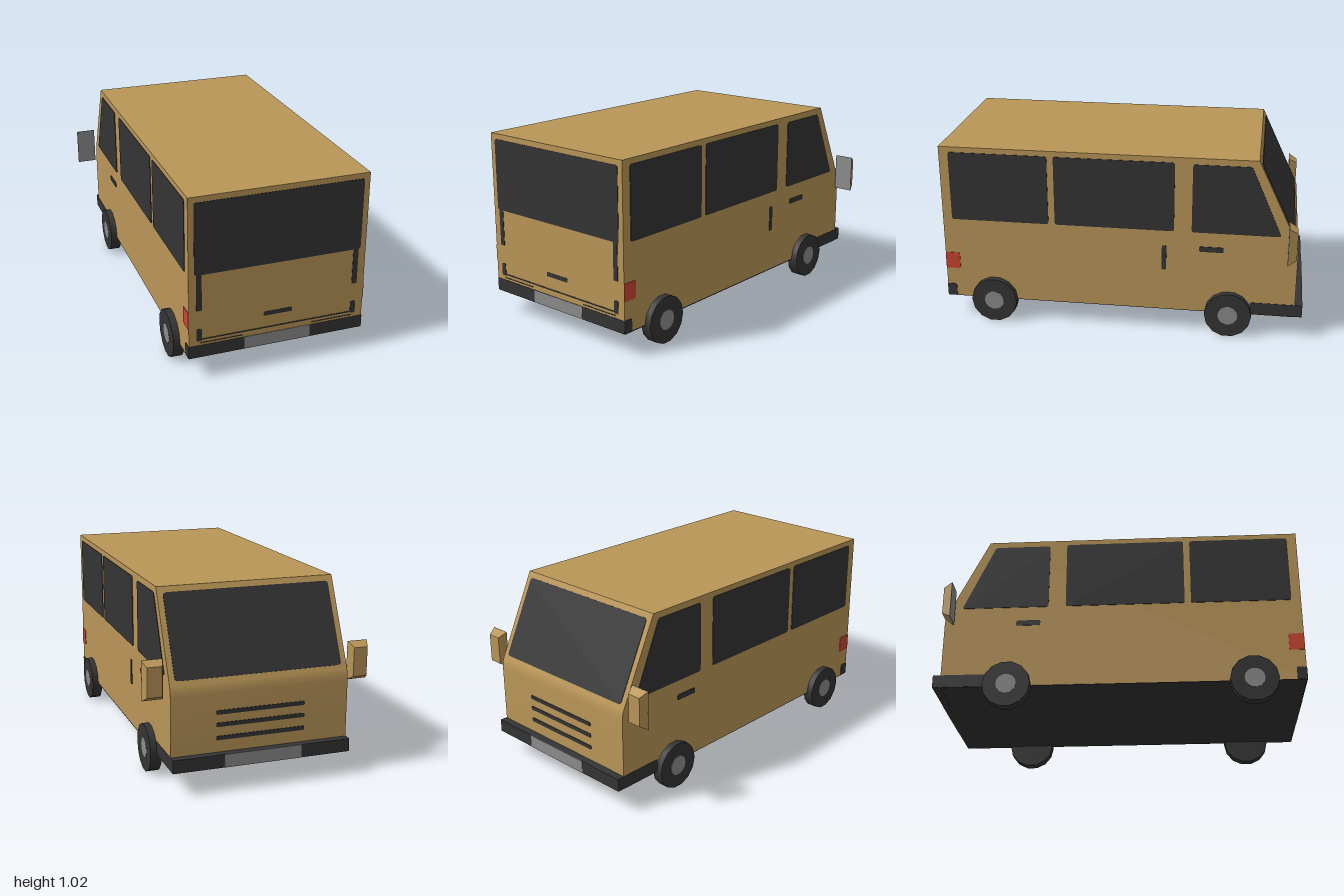
import * as THREE from 'three';
import { toCreasedNormals } from 'three/addons/utils/BufferGeometryUtils.js';

const paint = (name, color) => Object.assign(new THREE.MeshStandardMaterial({ color }), { name });

// Polygon with softened corners
function roundedShape(points, r) {
  const pts = points.map(([x, y]) => new THREE.Vector2(x, y));
  const shape = new THREE.Shape();
  const toward = (a, b) => a.clone().add(b.clone().sub(a).setLength(r));
  pts.forEach((p, i) => {
    const start = toward(p, pts[(i + pts.length - 1) % pts.length]);
    const end = toward(p, pts[(i + 1) % pts.length]);
    if (i === 0) shape.moveTo(start.x, start.y);
    else shape.lineTo(start.x, start.y);
    shape.quadraticCurveTo(p.x, p.y, end.x, end.y);
  });
  shape.closePath();
  return shape;
}

const rect = (x0, x1, y0, y1) => [[x0, y0], [x1, y0], [x1, y1], [x0, y1]];
const THIN = 0.004;
const plate = (points, r) =>
  new THREE.ExtrudeGeometry(roundedShape(points, r), { depth: THIN, bevelEnabled: false, curveSegments: 4 });

export function createModel() {
  const van = new THREE.Group();
  van.name = 'van';
  const body = paint('tan paint', 0xba9658);
  const dark = paint('dark trim', 0x343434);
  const grey = paint('grey metal', 0x8c8c8c);
  const red = paint('red lamp', 0xcc4530);

  function add(name, geometry, material, x = 0, y = 0, z = 0) {
    const mesh = new THREE.Mesh(geometry, material);
    mesh.name = name;
    mesh.position.set(x, y, z);
    van.add(mesh);
    return mesh;
  }

  // Body shell: side profile (x = -z) swept across the width
  const W = 0.48;
  const profile = new THREE.Shape([
    [-0.997, 0.13], [0.957, 0.13], [0.957, 0.51], [0.954, 0.545],
    [0.947, 0.566], [0.73, 1.02], [-0.997, 1.02],
  ].map(([u, y]) => new THREE.Vector2(u, y)));
  const shell = new THREE.ExtrudeGeometry(profile, { depth: 2 * W, bevelEnabled: false });
  shell.translate(0, 0, -W).rotateY(Math.PI / 2);
  add('bodyShell', toCreasedNormals(shell, 0.6), body);
  add('underside', new THREE.BoxGeometry(2 * W, 0.006, 1.95), dark, 0, 0.13, 0.02);

  // Side panels, given as [z, y] outlines on one flank
  function sidePanel(name, points, r, material, side) {
    const g = plate(points.map(([z, y]) => [-z, y]), r);
    g.translate(0, 0, side > 0 ? W - 0.001 : -W - THIN + 0.001).rotateY(Math.PI / 2);
    add(name, g, material);
  }
  for (const side of [1, -1]) {
    sidePanel('rearSideWindow', rect(0.945, 0.4, 0.6, 0.99), 0.015, dark, side);
    sidePanel('middleSideWindow', rect(0.365, -0.29, 0.6, 0.99), 0.015, dark, side);
    sidePanel('cabWindow', [[-0.385, 0.6], [-0.865, 0.6], [-0.695, 0.985], [-0.385, 0.985]], 0.015, dark, side);
    sidePanel('cabDoorHandle', rect(-0.428, -0.56, 0.488, 0.518), 0.008, dark, side);
    sidePanel('tailLamp', rect(0.997, 0.915, 0.3, 0.395), 0.008, red, side);
    sidePanel('rearBumperCorner', rect(0.997, 0.945, 0.13, 0.2), 0.01, dark, side);
  }
  sidePanel('slidingDoorHandle', rect(-0.225, -0.25, 0.37, 0.512), 0.006, dark, 1);

  // Tailgate end
  const tail = (name, x0, x1, y0, y1, r, material, lift = 0) =>
    add(name, plate(rect(x0, x1, y0, y1), r), material, 0, 0, 0.995 + lift);
  tail('rearWindow', -0.45, 0.45, 0.6, 0.99, 0.015, dark);
  tail('rearBumper', -W, W, 0.13, 0.2, 0.001, dark);
  tail('rearNumberPlate', -0.182, 0.182, 0.13, 0.2, 0.001, grey, 0.001);
  tail('tailgateHandle', -0.078, 0.078, 0.304, 0.327, 0.006, dark);
  tail('tailgateLowerGap', -0.42, 0.42, 0.23, 0.237, 0.001, dark);
  for (const s of [1, -1]) {
    const [a, b] = s > 0 ? [0.411, 0.44] : [-0.44, -0.411];
    const [c, d] = s > 0 ? [0.19, 0.42] : [-0.42, -0.19];
    tail('tailgateUpperGap', a, b, 0.4, 0.605, 0.004, dark);
    tail('tailgateCornerGap', a, b, 0.225, 0.295, 0.008, dark);
    tail('tailgateSill', c, d, 0.211, 0.216, 0.001, dark);
  }

  // Sloping windscreen
  const screen = plate(rect(-0.45, 0.45, -0.48, -0.032), 0.02);
  screen.translate(0, 0, -0.001).rotateY(Math.PI).rotateX(Math.atan2(0.217, 0.454));
  add('windscreen', screen, dark, 0, 1.02, -0.73);

  // Nose: grille slots, wrap-around bumper and number plate
  for (const y of [0.275, 0.345, 0.41]) {
    const slot = plate(rect(-0.24, 0.24, y - 0.011, y + 0.011), 0.008);
    add('grilleSlot', slot.rotateY(Math.PI), dark, 0, 0, -0.956);
  }
  add('noseBumper', new THREE.BoxGeometry(2 * W + 0.004, 0.07, 0.283), dark, 0, 0.165, -0.8565);
  add('noseNumberPlate', new THREE.BoxGeometry(0.42, 0.07, 0.004), grey, 0, 0.165, -0.998);

  // Wheels with hub caps
  for (const side of [1, -1]) {
    for (const z of [0.72, -0.595]) {
      const tyre = new THREE.CylinderGeometry(0.129, 0.129, 0.06, 14).rotateZ(Math.PI / 2);
      const hub = new THREE.CylinderGeometry(0.055, 0.055, 0.006, 14).rotateZ(Math.PI / 2);
      add('tyre', toCreasedNormals(tyre, 0.6), dark, side * 0.486, 0.129, z);
      add('hubCap', toCreasedNormals(hub, 0.6), grey, side * 0.515, 0.129, z);
    }
  }

  // Door mirrors: housing tapers toward the nose, glass on the wide face
  for (const side of [1, -1]) {
    const housing = new THREE.BoxGeometry(0.11, 0.207, 0.045);
    const p = housing.attributes.position;
    for (let i = 0; i < p.count; i++) {
      if (p.getZ(i) < 0) p.setXY(i, p.getX(i) * 0.7, p.getY(i) * 0.75);
    }
    housing.computeVertexNormals();
    add('mirrorHousing', housing, body, side * 0.555, 0.596, -0.925);
    add('mirrorGlass', new THREE.BoxGeometry(0.11, 0.207, 0.003), grey, side * 0.555, 0.596, -0.902);
  }
  return van;
}
